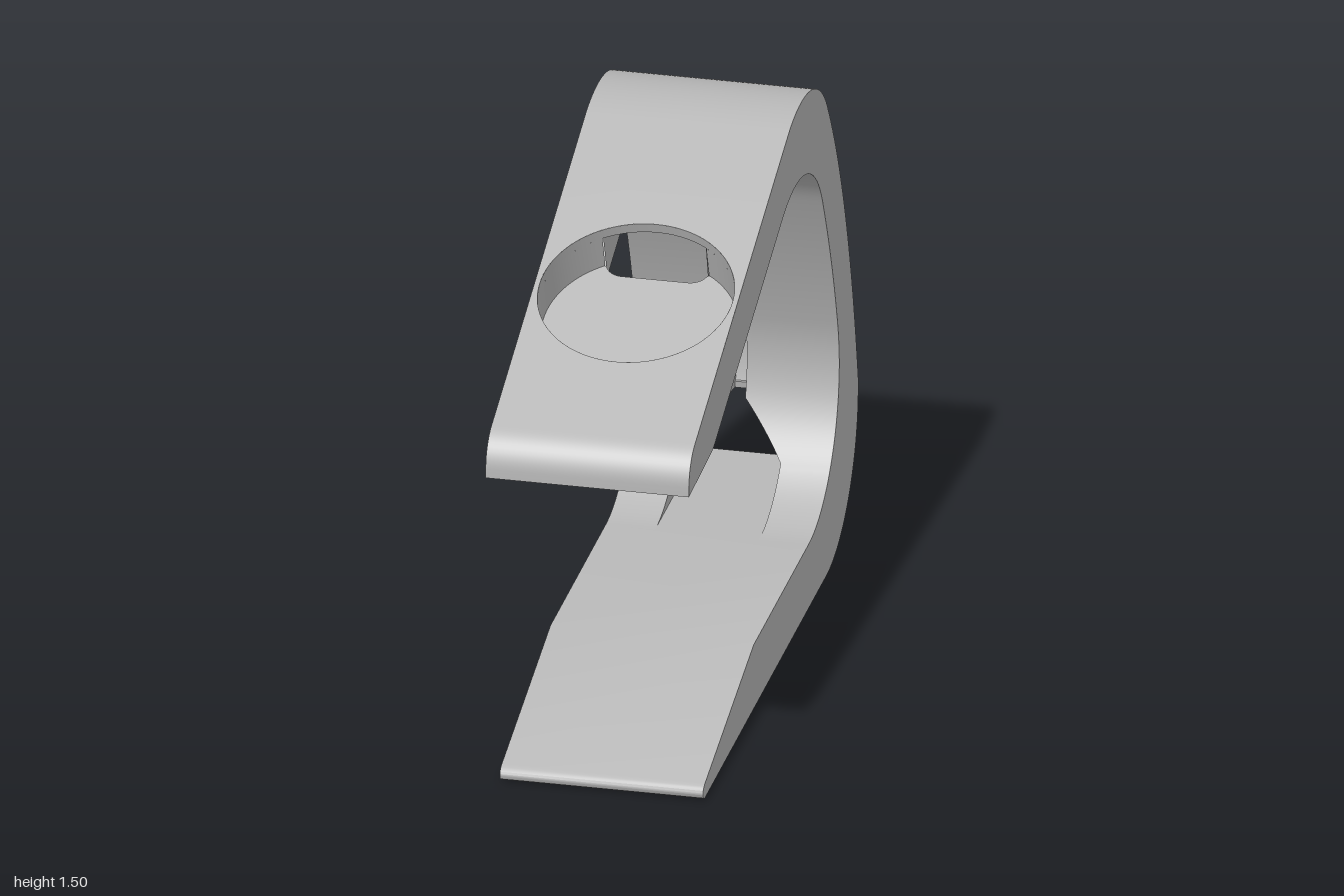
import * as THREE from 'three';
import { toCreasedNormals } from 'three/addons/utils/BufferGeometryUtils.js';

const W = 0.274;                                   // half width of the band
const TILT = THREE.MathUtils.degToRad(20);         // slope of the upper arm
const DISC = { r: 0.26, depth: 0.13 };
const SLOT = { half: 0.14, r: 0.05, s0: 0.185, s1: 0.441, top: 0.03 };
const POCKET = { half: 0.14, r: 0.09, z0: 0.18, z1: -0.57, depth: 0.13 };
const GROOVE = { half: 0.025, depth: 0.1 };
const PORT = { y0: 0.185, y1: 0.29, y2: 0.43, half: 0.14 };
const UNDER = 0.1785;                              // thickness of the upper arm

const range = (n, f) => Array.from({ length: n + 1 }, (_, i) => f(i / n));
const ease = (t) => 0.5 - 0.5 * Math.cos(Math.PI * t);
// profile points are Vector2(z, y)
const pt = (z, y) => new THREE.Vector2(z, y);
const at = (x, p) => new THREE.Vector3(x, p.y, p.x);
const bez = (a, b, c, d, n = 28) =>
  new THREE.CubicBezierCurve(pt(...a), pt(...b), pt(...c), pt(...d)).getPoints(n);
const quad = (a, b, c, n = 24) =>
  new THREE.QuadraticBezierCurve(pt(...a), pt(...b), pt(...c)).getPoints(n);
// arm frame: s runs up the slope from the disc centre, n is depth below the top face
const arm = (s, n) => pt(
  0.425 - s * Math.cos(TILT) - n * Math.sin(TILT),
  1.26 + s * Math.sin(TILT) - n * Math.cos(TILT));

// z of a polyline at height y
function zAt(poly, y) {
  for (let i = 0; i + 1 < poly.length; i++) {
    const a = poly[i], b = poly[i + 1];
    if (a.y !== b.y && (a.y - y) * (b.y - y) <= 0) return a.x + (b.x - a.x) * (y - a.y) / (b.y - a.y);
  }
  return poly[poly.length - 1].x;
}

// half width of a rounded rectangle at distance u from its nearest end
const roundHalf = (u, half, r) => u >= r ? half : half - r + Math.sqrt(Math.max(0, r * r - (r - u) ** 2));
const portHalf = (y) => y <= PORT.y1 ? PORT.half
  : THREE.MathUtils.mapLinear(y, PORT.y1, PORT.y2, PORT.half, GROOVE.half);

// collects quads between pairs of point rows
class Surface {
  constructor() { this.pos = []; }
  tri(...v) { v.forEach((p) => this.pos.push(p.x, p.y, p.z)); }
  strip(A, B) {
    for (let i = 0; i + 1 < A.length; i++) {
      this.tri(A[i], A[i + 1], B[i]);
      this.tri(A[i + 1], B[i + 1], B[i]);
    }
    return this;
  }
  // band across the width, open in the middle by gap(i)
  ribbon(pts, gap) {
    const edge = (f) => pts.map((p, i) => at(f(i), p));
    if (!gap) return this.strip(edge(() => -W), edge(() => W));
    this.strip(edge(() => -W), edge((i) => -gap(i)));
    return this.strip(edge((i) => gap(i)), edge(() => W));
  }
  mesh(name, material) {
    const g = new THREE.BufferGeometry();
    g.setAttribute('position', new THREE.Float32BufferAttribute(this.pos, 3));
    const m = new THREE.Mesh(toCreasedNormals(g, 0.45), material);
    m.name = name;
    return m;
  }
}

export function createModel() {
  const group = new THREE.Group();
  group.name = 'curvedStand';
  const grey = new THREE.MeshStandardMaterial({ color: 0xb8b8b8, side: THREE.DoubleSide });
  grey.name = 'grey';

  // outline curves, in order: base, back, arm, nose, inner curve, foot
  const back = [
    ...bez([-0.62, 0], [-0.83, 0], [-1, 0.17], [-1, 0.38]),
    ...quad([-1, 0.4], [-0.8825, 1.0], [-0.635, 1.353]),
  ];
  const topBend = bez([-0.635, 1.353], [-0.537, 1.492], [-0.34, 1.534], [-0.18, 1.48]);
  const nose = [
    ...bez([0.93, 1.076], [0.975, 1.06], [1, 1.02], [1, 0.98], 10),
    pt(1, 0.955), pt(0.75, 0.964), pt(0.72, 0.966), arm(-0.357, UNDER),
  ];
  const inner = [
    ...bez([-0.11, 1.265], [-0.289, 1.33], [-0.4945, 1.269], [-0.58, 1.1]),
    ...quad([-0.58, 1.1], [-0.7, 0.87], [-0.76, 0.656]).slice(1),
    ...bez([-0.76, 0.656], [-0.768, 0.625], [-0.775, 0.59], [-0.775, 0.545], 8).slice(1),
    ...bez([-0.775, 0.545], [-0.775, 0.346], [-0.614, 0.185], [-0.415, 0.185], 60).slice(1),
  ];
  const foot = [
    pt(-0.415, 0.185), pt(0.235, 0.185), pt(0.81, 0.042),
    ...bez([0.82, 0.038], [0.84, 0.03], [0.84, 0.004], [0.81, 0], 8),
  ];

  // heights sampled through the cable port, and its two mouths
  const portYs = [
    ...range(24, (t) => PORT.y0 + (PORT.y1 - PORT.y0) * t * t),
    ...range(10, (t) => PORT.y1 + (PORT.y2 - PORT.y1) * t).slice(1),
  ];
  const portIn = portYs.map((y) => pt(zAt(inner, y), y));
  const portOut = portYs.map((y) => pt(zAt(back, y), y));
  const portGap = portYs.map(portHalf);
  const last = portYs.length - 1;

  // groove path along the inner curve and its floor
  const slotEnd = arm(SLOT.s1, UNDER);
  const groove = [slotEnd, ...inner.filter((p) => p.y > PORT.y2 + 0.002), portIn[last]];
  const grooveFloor = groove.map((p, i) => {
    const t = groove[Math.min(i + 1, groove.length - 1)].clone().sub(groove[Math.max(i - 1, 0)]).normalize();
    return pt(p.x + t.y * GROOVE.depth, p.y - t.x * GROOVE.depth);
  });
  grooveFloor[0] = arm(SLOT.s1, UNDER - GROOVE.depth);
  grooveFloor[groove.length - 1].y = PORT.y2;

  // outer skin with openings for pocket, port and disc
  const pocketLen = POCKET.z0 - POCKET.z1;
  const pocketU = range(60, (t) => pocketLen * ease(t));
  const pocketPts = pocketU.map((u) => pt(POCKET.z0 - u, 0));
  const pocketGap = pocketU.map((u) => roundHalf(Math.min(u, pocketLen - u), POCKET.half, POCKET.r));
  const discS = range(64, (t) => DISC.r * Math.cos(Math.PI * t));
  const outer = new Surface()
    .ribbon([pt(0.81, 0), pocketPts[0]])
    .ribbon(pocketPts, (i) => pocketGap[i])
    .ribbon([pocketPts[60], ...back.filter((p) => p.y < PORT.y0), portOut[0]])
    .ribbon(portOut, (i) => portGap[i])
    .ribbon([portOut[last], ...back.filter((p) => p.y > PORT.y2), ...topBend.slice(1), arm(DISC.r, 0)])
    .ribbon(discS.map((s) => arm(s, 0)), (i) => Math.sqrt(Math.max(0, DISC.r ** 2 - discS[i] ** 2)))
    .ribbon([arm(-DISC.r, 0), ...nose]);
  group.add(outer.mesh('outerBand', grey));

  // inner skin with openings for slot, groove and port
  const slotLen = SLOT.s1 - SLOT.s0;
  const slotU = range(60, (t) => slotLen * ease(t));
  const slotGap = slotU.map((u) => roundHalf(Math.min(u, slotLen - u), SLOT.half, SLOT.r));
  const innerSkin = new Surface()
    .ribbon([nose[nose.length - 1], arm(SLOT.s0, UNDER)])
    .ribbon(slotU.map((u) => arm(SLOT.s0 + u, UNDER)), (i) => slotGap[i])
    .ribbon(groove, () => GROOVE.half)
    .ribbon([...portIn].reverse(), (i) => portGap[last - i])
    .ribbon(foot);
  group.add(innerSkin.mesh('innerBand', grey));

  // flat side faces
  const profile = [pt(0.81, 0), ...back, ...topBend.slice(1), ...nose, ...inner, ...foot.slice(1, -1)];
  for (const side of [1, -1]) {
    const shape = new THREE.Shape(profile.map((p) => pt(-side * p.x, p.y)));
    const face = new THREE.Mesh(new THREE.ShapeGeometry(shape), grey);
    face.name = side > 0 ? 'leftSide' : 'rightSide';
    face.rotation.y = side * Math.PI / 2;
    face.position.x = side * W;
    group.add(face);
  }

  // round recess in the arm: wall with a rear opening, floor cut by the slot
  const open = Math.asin(SLOT.half / DISC.r);
  const ring = (a0, a1, n) => range(72, (t) => {
    const a = a0 + (a1 - a0) * t;
    return at(DISC.r * Math.sin(a), arm(DISC.r * Math.cos(a), n));
  });
  const full = Math.PI * 2;
  const discX = range(120, (t) => -DISC.r * Math.cos(Math.PI * t));
  const chord = (x) => Math.sqrt(Math.max(0, DISC.r ** 2 - x * x));
  const corner = (x) => {                          // inset of the rounded slot end at x
    const k = Math.max(0, Math.abs(x) - (SLOT.half - SLOT.r));
    return SLOT.r - Math.sqrt(Math.max(0, SLOT.r ** 2 - k * k));
  };
  const floorRear = (x) => Math.abs(x) < SLOT.half ? Math.min(chord(x), SLOT.s0 + corner(x)) : chord(x);
  const recess = new Surface()
    .strip(ring(0, full, SLOT.top), ring(0, full, 0))
    .strip(ring(open, full - open, DISC.depth), ring(open, full - open, SLOT.top))
    .strip(discX.map((x) => at(x, arm(-chord(x), DISC.depth))),
      discX.map((x) => at(x, arm(floorRear(x), DISC.depth))));
  group.add(recess.mesh('discRecess', grey));

  // cable slot under the arm, its rear wall notched by the groove
  const slotTop = (x, s) => x * x + s * s < DISC.r ** 2 ? DISC.depth : SLOT.top;
  const edge = slotU.map((u, i) => [slotGap[i], SLOT.s0 + u, UNDER]);
  const notch = UNDER - GROOVE.depth, gh = GROOVE.half;
  const loop = [
    ...edge, [gh, SLOT.s1, UNDER], [gh, SLOT.s1, notch], [-gh, SLOT.s1, notch], [-gh, SLOT.s1, UNDER],
    ...[...edge].reverse().map(([x, s, n]) => [-x, s, n]), edge[0],
  ];
  const slotX = range(40, (t) => SLOT.half * (2 * ease(t) - 1));
  const slot = new Surface()
    .strip(loop.map(([x, s]) => at(x, arm(s, slotTop(x, s)))), loop.map(([x, s, n]) => at(x, arm(s, n))))
    .strip(slotX.map((x) => at(x, arm(SLOT.s1 - corner(x), SLOT.top))),
      slotX.map((x) => at(x, arm(chord(x), SLOT.top))));
  group.add(slot.mesh('cableSlot', grey));

  // narrow cable groove
  const row = (pts, x) => pts.map((p) => at(x, p));
  const channel = new Surface()
    .strip(row(grooveFloor, gh), row(groove, gh))
    .strip(row(groove, -gh), row(grooveFloor, -gh))
    .strip(row(grooveFloor, -gh), row(grooveFloor, gh));
  group.add(channel.mesh('cableGroove', grey));

  // five-sided port through the back
  const portRow = (pts, k) => pts.map((p, i) => at(k * portGap[i], p));
  const portFloor = [portIn[0], portOut[0]];
  const portRoof = [grooveFloor[groove.length - 1], portOut[last]];
  const port = new Surface()
    .strip(portRow(portIn, 1), portRow(portOut, 1))
    .strip(portRow(portOut, -1), portRow(portIn, -1))
    .strip(row(portFloor, PORT.half), row(portFloor, -PORT.half))
    .strip(row(portRoof, -gh), row(portRoof, gh));
  group.add(port.mesh('cablePort', grey));

  // blind pocket under the base
  const rim = pocketPts.map((p, i) => [pocketGap[i], p.x]);
  const around = [...rim, ...[...rim].reverse().map(([x, z]) => [-x, z]), rim[0]];
  const pocket = new Surface()
    .strip(around.map(([x, z]) => at(x, pt(z, POCKET.depth))), around.map(([x, z]) => at(x, pt(z, 0))))
    .strip(rim.map(([x, z]) => at(-x, pt(z, POCKET.depth))), rim.map(([x, z]) => at(x, pt(z, POCKET.depth))));
  group.add(pocket.mesh('basePocket', grey));

  return group;
}
